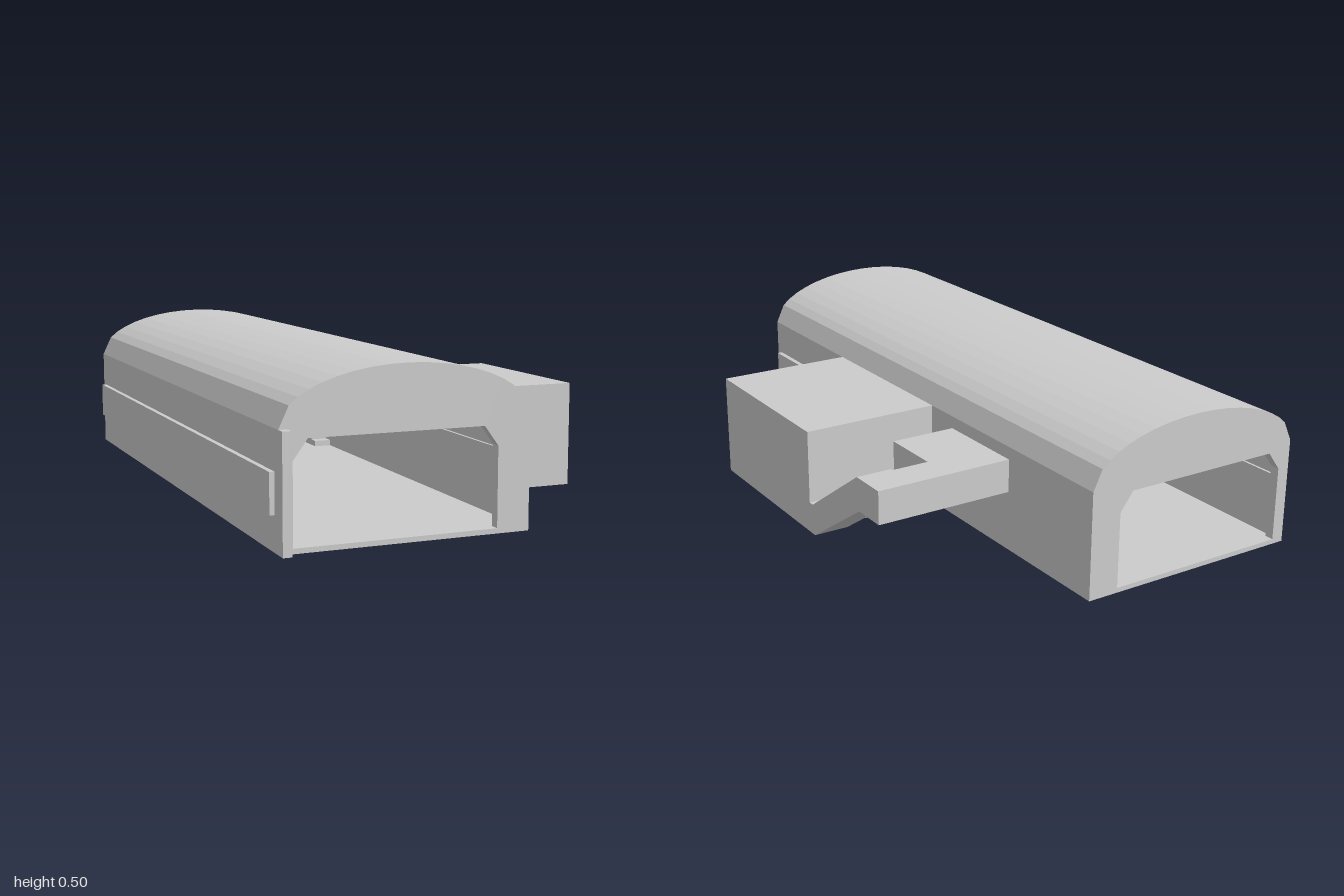
import * as THREE from 'three';

const CX = -0.22; // centre line of the hall
const grey = new THREE.MeshStandardMaterial({ color: 0xcccccc, flatShading: true });

// Closed hall section: straight walls under a half-ellipse roof
function hallPoints(halfWidth, rise, floorY) {
  const eaves = 0.335, steps = 16, first = Math.PI * 0.128;
  const angles = [0];
  for (let i = 0; i <= steps; i++) angles.push(first + (Math.PI - 2 * first) * i / steps);
  angles.push(Math.PI);
  const pts = angles.map(a => new THREE.Vector2(CX + halfWidth * Math.cos(a), eaves + rise * Math.sin(a)));
  pts.push(new THREE.Vector2(CX - halfWidth, floorY), new THREE.Vector2(CX + halfWidth, floorY));
  return pts;
}

function toPoints(list) {
  return list.map(([x, y]) => new THREE.Vector2(x, y));
}

export function createModel() {
  const model = new THREE.Group();
  model.name = 'hall';

  const add = (name, geometry) => {
    const mesh = new THREE.Mesh(geometry, grey);
    mesh.name = name;
    model.add(mesh);
    return mesh;
  };
  // Box given by its extents
  const box = (name, x0, x1, y0, y1, z0, z1) =>
    add(name, new THREE.BoxGeometry(x1 - x0, y1 - y0, z1 - z0)
      .translate((x0 + x1) / 2, (y0 + y1) / 2, (z0 + z1) / 2));
  // Section in x and y, with one hole, extruded along z
  const section = (name, outline, hole, z0, z1) => {
    const shape = new THREE.Shape(outline);
    shape.holes.push(new THREE.Path(hole));
    add(name, new THREE.ExtrudeGeometry(shape, { depth: z1 - z0, bevelEnabled: false }).translate(0, 0, z0));
  };

  // Hollow vaulted hall
  const outer = hallPoints(0.375, 0.16, 0);
  section('hallShell', outer, hallPoints(0.35, 0.135, 0.015), -0.97, 0.94);

  // End walls with a chamfered gateway
  const gateway = toPoints([
    [-0.555, 0.015], [0.055, 0.015], [0.055, 0.25], [0.012, 0.308], [-0.512, 0.308], [-0.555, 0.25],
  ]);
  section('backWall', outer, gateway, -1, -0.97);
  section('frontWall', outer, gateway, 0.94, 0.97);

  // Door post at the front corner
  box('doorPost', -0.595, -0.568, 0, 0.335, 0.97, 1);

  // Long window bands, standing proud of both wall faces
  box('rightWindowBand', -0.61, -0.562, 0.103, 0.22, -0.97, 0.94);
  box('leftWindowBand', 0.122, 0.172, 0.103, 0.22, 0.445, 0.94);

  // Side annex
  box('annex', 0.155, 0.605, 0, 0.335, -0.16, 0.445);

  // Raised walkway: landing against the hall and the cross passage
  const plan = new THREE.Shape(toPoints([
    [0.155, 0.28], [0.37, 0.28], [0.37, 0.48], [0.605, 0.48], [0.605, 0.595], [0.155, 0.595],
  ]));
  add('walkway', new THREE.ExtrudeGeometry(plan, { depth: 0.105, bevelEnabled: false })
    .rotateX(-Math.PI / 2).translate(0, 0.19, 0));

  // Sloping passage from the ground by the annex up to the walkway
  const slope = new THREE.Shape(toPoints([
    [0.16, 0], [0.19, 0], [0.48, 0.19], [0.48, 0.295], [0.47, 0.295], [0.18, 0.1], [0.16, 0.1],
  ]));
  add('slopingPassage', new THREE.ExtrudeGeometry(slope, { depth: 0.115, bevelEnabled: false })
    .rotateY(Math.PI / 2).translate(0.49, 0, 0));

  // Low steps along the inner wall
  for (let i = 0; i < 4; i++) {
    box('innerStep' + (i + 1), 0.07, 0.13, 0.015, 0.035 + i * 0.02, -0.5 - i * 0.04, -0.46 - i * 0.04);
  }
  return model;
}
